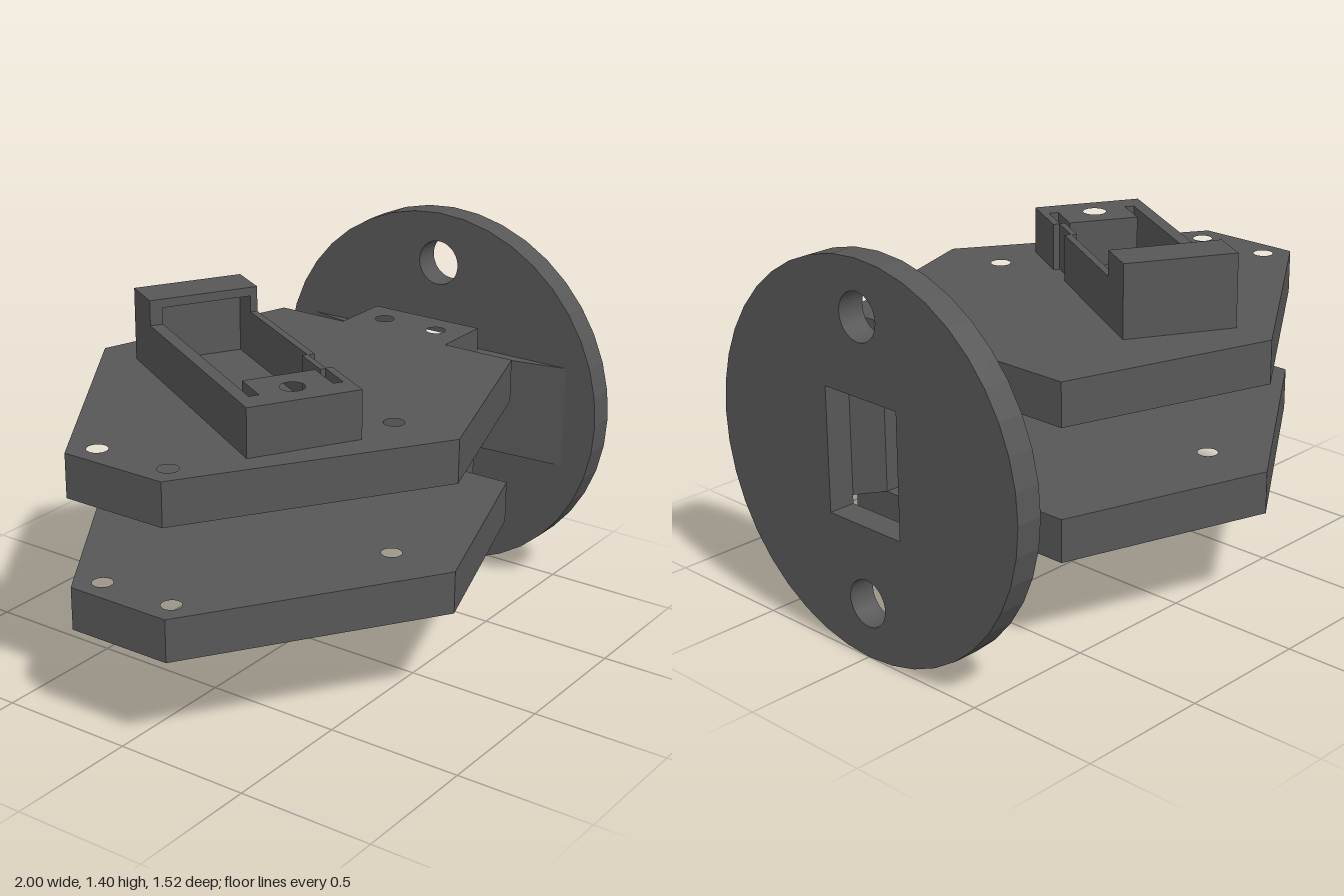
import * as THREE from 'three';

const material = new THREE.MeshStandardMaterial({ color: 0x575757, flatShading: true });

function addMesh(parent, geometry, name) {
  const mesh = new THREE.Mesh(geometry, material);
  mesh.name = name;
  parent.add(mesh);
  return mesh;
}

function circlePath(x, y, r) {
  return new THREE.Path().absarc(x, y, r, 0, Math.PI * 2, true);
}

// Plan outline of [x, z] points, with round holes [x, z, r], raised from y0 to y1
function slab(points, holes, y0, y1) {
  const shape = new THREE.Shape(points.map(([x, z]) => new THREE.Vector2(x, -z)));
  for (const [x, z, r] of holes) shape.holes.push(circlePath(x, -z, r));
  const geometry = new THREE.ExtrudeGeometry(shape, { depth: y1 - y0, bevelEnabled: false, curveSegments: 16 });
  return geometry.rotateX(-Math.PI / 2).translate(0, y0, 0);
}

const rect = (x0, x1, z0, z1) => [[x0, z0], [x1, z0], [x1, z1], [x0, z1]];

export function createModel() {
  const model = new THREE.Group();
  model.name = 'flangedBracket';

  // Two matching plates
  const outline = [
    [-1, -0.2], [-0.16, -0.76], [0.603, -0.512], [0.603, -0.235], [0.832, -0.235],
    [0.832, 0.222], [0.603, 0.222], [0.603, 0.504], [-0.155, 0.758], [-1, 0.2],
  ];
  const r = 0.036;
  const postHoles = [[0.72, -0.124, r], [0.72, 0.106, r]];
  const holes = [[-0.91, -0.14, r], [-0.905, 0.15, r], [-0.155, 0.502, r], [-0.155, -0.502, r], ...postHoles];
  addMesh(model, slab(outline, holes, 0.375, 0.53), 'lowerPlate');
  addMesh(model, slab(outline, holes, 0.85, 1.007), 'upperPlate');

  // Posts between the plates, each with a flared web reaching the flange
  const sides = [
    { name: 'right', post: [-0.235, -0.075], web: [-0.57, -0.175] },
    { name: 'left', post: [0.07, 0.222], web: [0.167, 0.565] },
  ];
  sides.forEach(({ name, post, web }, i) => {
    addMesh(model, slab(rect(0.652, 0.832, ...post), [postHoles[i]], 0.53, 0.85), name + 'Post');
    const geometry = new THREE.BoxGeometry(1, 1, 1);
    const p = geometry.attributes.position;
    for (let k = 0; k < p.count; k++) {
      const outer = p.getX(k) > 0;
      const zs = outer ? web : post;
      const y = p.getY(k) > 0 ? 0.9 : outer ? 0.51 : 0.53;
      p.setXYZ(k, outer ? 0.9 : 0.832, y, zs[p.getZ(k) > 0 ? 1 : 0]);
    }
    geometry.computeVertexNormals();
    addMesh(model, geometry, name + 'Web');
  });

  // Round flange with a rectangular window and two bolt holes
  const disc = new THREE.Shape().absarc(0, 0.7, 0.7, 0, Math.PI * 2, false);
  disc.holes.push(circlePath(0, 1.205, 0.085), circlePath(0, 0.2, 0.085));
  disc.holes.push(new THREE.Path([[-0.168, 0.48], [-0.168, 0.93], [0.168, 0.93], [0.168, 0.48]]
    .map(([x, y]) => new THREE.Vector2(x, y))));
  const flange = new THREE.ExtrudeGeometry(disc, { depth: 0.1, bevelEnabled: false, curveSegments: 20 });
  addMesh(model, flange.rotateY(Math.PI / 2).translate(0.9, 0, -0.003), 'flange');

  // Holder set at an angle on the upper plate
  const holder = new THREE.Group();
  holder.name = 'holder';
  holder.position.set(-0.177, 1.007, -0.596);
  holder.rotation.y = -Math.PI / 6;
  model.add(holder);

  // Tray walls with a notched side, and an end block with two slots and a hole
  const tray = [
    [0, 0], [0.406, 0], [0.406, 0.66], [0.38, 0.66], [0.38, 0.06], [0.047, 0.06],
    [0.047, 0.943], [0.082, 0.943], [0.082, 0.8], [0.343, 0.8], [0.343, 0.943],
    [0.379, 0.943], [0.379, 0.8], [0.406, 0.8], [0.406, 1.034], [0, 1.034],
  ];
  addMesh(holder, slab(tray, [[0.21, 0.918, 0.043]], 0, 0.173), 'tray');

  // Thin wall set back in the side notch
  addMesh(holder, slab(rect(0.36, 0.382, 0.655, 0.805), [], 0, 0.173), 'notchPanel');

  // Raised hood over the back end of the tray
  const hood = [
    [0, 0], [0.406, 0], [0.406, 0.16], [0.38, 0.16],
    [0.38, 0.06], [0.047, 0.06], [0.047, 0.16], [0, 0.16],
  ];
  addMesh(holder, slab(hood, [], 0.173, 0.233), 'hoodWalls');
  addMesh(holder, slab(rect(0, 0.406, 0, 0.16), [], 0.233, 0.265), 'hoodTop');

  return model;
}
